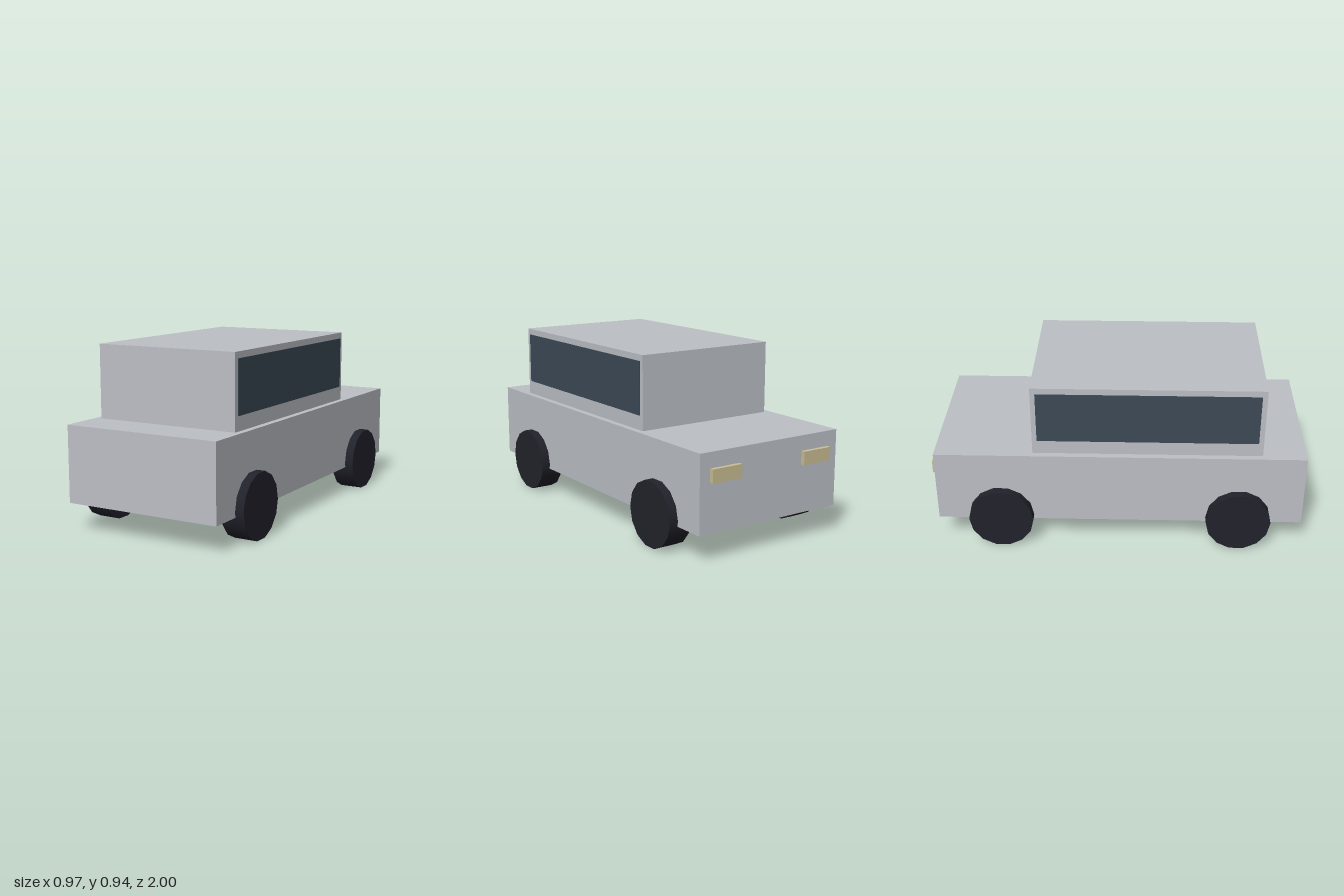
import * as THREE from 'three';

export function createModel() {
  const group = new THREE.Group();
  group.name = 'car';

  const paint = (name, color) => {
    const m = new THREE.MeshStandardMaterial({ color });
    m.name = name;
    return m;
  };
  const silver = paint('silverPaint', 0xbdc0c6);
  const glass = paint('darkGlass', 0x3c4a56);
  const rubber = paint('blackRubber', 0x22222c);
  const lamp = paint('paleYellowLamp', 0xcabf95);

  const add = (name, geometry, material, x, y, z) => {
    const mesh = new THREE.Mesh(geometry, material);
    mesh.name = name;
    mesh.position.set(x, y, z);
    group.add(mesh);
  };

  // Box given by its extents along each axis
  const box = (name, material, [x0, x1], [y0, y1], [z0, z1]) =>
    add(name, new THREE.BoxGeometry(x1 - x0, y1 - y0, z1 - z0), material,
      (x0 + x1) / 2, (y0 + y1) / 2, (z0 + z1) / 2);

  // Lower body and cabin
  box('body', silver, [-0.437, 0.437], [0.145, 0.55], [-0.977, 1]);
  box('cabin', silver, [-0.403, 0.403], [0.55, 0.94], [-0.452, 0.768]);

  // Wheels: axle along x, flat side of the polygon on the ground
  const radius = 0.175, sides = 14;
  const wheel = new THREE.CylinderGeometry(radius, radius, 0.128, sides).rotateZ(Math.PI / 2);
  const axleHeight = radius * Math.cos(Math.PI / sides);

  for (const [side, s] of [['left', 1], ['right', -1]]) {
    const span = (a, b) => (s > 0 ? [a, b] : [-b, -a]);

    // Side window plate and rear lamp
    box(side + 'Window', glass, span(0.4, 0.407), [0.627, 0.907], [-0.426, 0.741]);
    box(side + 'RearLamp', lamp, span(0.2, 0.377), [0.4, 0.47], [-1, -0.977]);

    add(side + 'FrontWheel', wheel, rubber, s * 0.421, axleHeight, 0.653);
    add(side + 'RearWheel', wheel, rubber, s * 0.421, axleHeight, -0.63);
  }

  return group;
}
